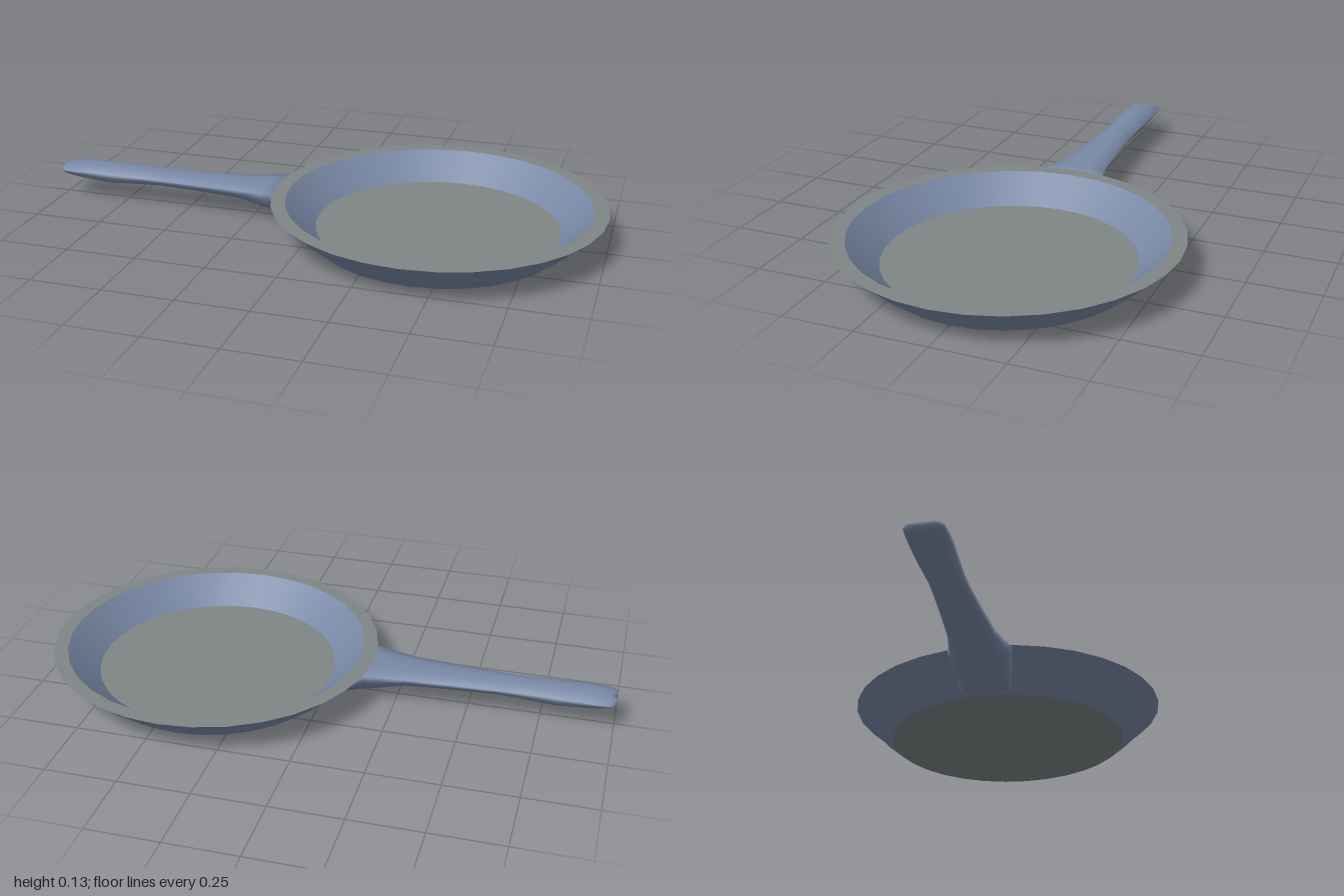
import * as THREE from 'three';

const CX = 0.42; // centre of the pan along x
const steel = new THREE.MeshStandardMaterial({ color: 0x7888a5 });
const grey = new THREE.MeshStandardMaterial({ color: 0x7f8585 });

// Ring turned from a short profile of [radius, height]
function ring(name, profile, material) {
  const pts = profile.map(([r, y]) => new THREE.Vector2(r, y));
  const mesh = new THREE.Mesh(new THREE.LatheGeometry(pts, 32), material);
  mesh.name = name;
  mesh.position.x = CX;
  return mesh;
}

// Handle lofted through sections: x, half width, crest y, edge y, bottom y
const SECTIONS = [
  [-1.0, 0.045, 0.112, 0.106, 0.095],
  [-0.985, 0.063, 0.118, 0.105, 0.082],
  [-0.94, 0.066, 0.125, 0.106, 0.073],
  [-0.88, 0.067, 0.129, 0.108, 0.066],
  [-0.8, 0.064, 0.128, 0.106, 0.058],
  [-0.68, 0.06, 0.126, 0.105, 0.067],
  [-0.6, 0.063, 0.125, 0.105, 0.072],
  [-0.45, 0.072, 0.123, 0.107, 0.069],
  [-0.29, 0.084, 0.122, 0.11, 0.063],
  [-0.2, 0.101, 0.122, 0.116, 0.042],
  [-0.145, 0.113, 0.122, 0.118, 0.031],
  [-0.03, 0.09, 0.02, 0.015, 0.003],
];
// Cross-section: [width factor, low level, high level, blend between them]
const LOOP = [
  [0, 'edge', 'crest', 1], [0.5, 'edge', 'crest', 0.8], [1, 'edge', 'crest', 0],
  [0.93, 'bottom', 'edge', 0.65], [0.68, 'bottom', 'edge', 0.2], [0, 'bottom', 'edge', 0],
  [-0.68, 'bottom', 'edge', 0.2], [-0.93, 'bottom', 'edge', 0.65],
  [-1, 'edge', 'crest', 0], [-0.5, 'edge', 'crest', 0.8],
];

function handleGeometry() {
  const pos = [], index = [], n = LOOP.length;
  for (const [x, w, crest, edge, bottom] of SECTIONS) {
    const level = { crest, edge, bottom };
    for (const [f, lo, hi, t] of LOOP) {
      pos.push(x, THREE.MathUtils.lerp(level[lo], level[hi], t), f * w);
    }
  }
  for (let s = 0; s < SECTIONS.length - 1; s++) {
    for (let i = 0; i < n; i++) {
      const a = s * n + i, b = s * n + (i + 1) % n;
      index.push(a, b, a + n, b, b + n, a + n);
    }
  }
  // Close both ends
  const last = (SECTIONS.length - 1) * n;
  for (let i = 1; i < n - 1; i++) {
    index.push(0, i + 1, i, last, last + i, last + i + 1);
  }
  const g = new THREE.BufferGeometry();
  g.setAttribute('position', new THREE.Float32BufferAttribute(pos, 3));
  g.setIndex(index);
  g.computeVertexNormals();
  return g;
}

export function createModel() {
  const pan = new THREE.Group();
  pan.name = 'fryingPan';

  // Dish, from the underside round the rim to the cooking surface
  pan.add(
    ring('underside', [[0, 0], [0.44, 0]], grey),
    ring('outerWall', [[0.44, 0], [0.505, 0.054], [0.512, 0.066], [0.58, 0.123]], steel),
    ring('rim', [[0.58, 0.123], [0.53, 0.123]], grey),
    ring('innerWall', [[0.53, 0.123], [0.425, 0.03]], steel),
    ring('cookingSurface', [[0.425, 0.03], [0, 0.03]], grey),
  );

  const handle = new THREE.Mesh(handleGeometry(), steel);
  handle.name = 'handle';
  pan.add(handle);
  return pan;
}
